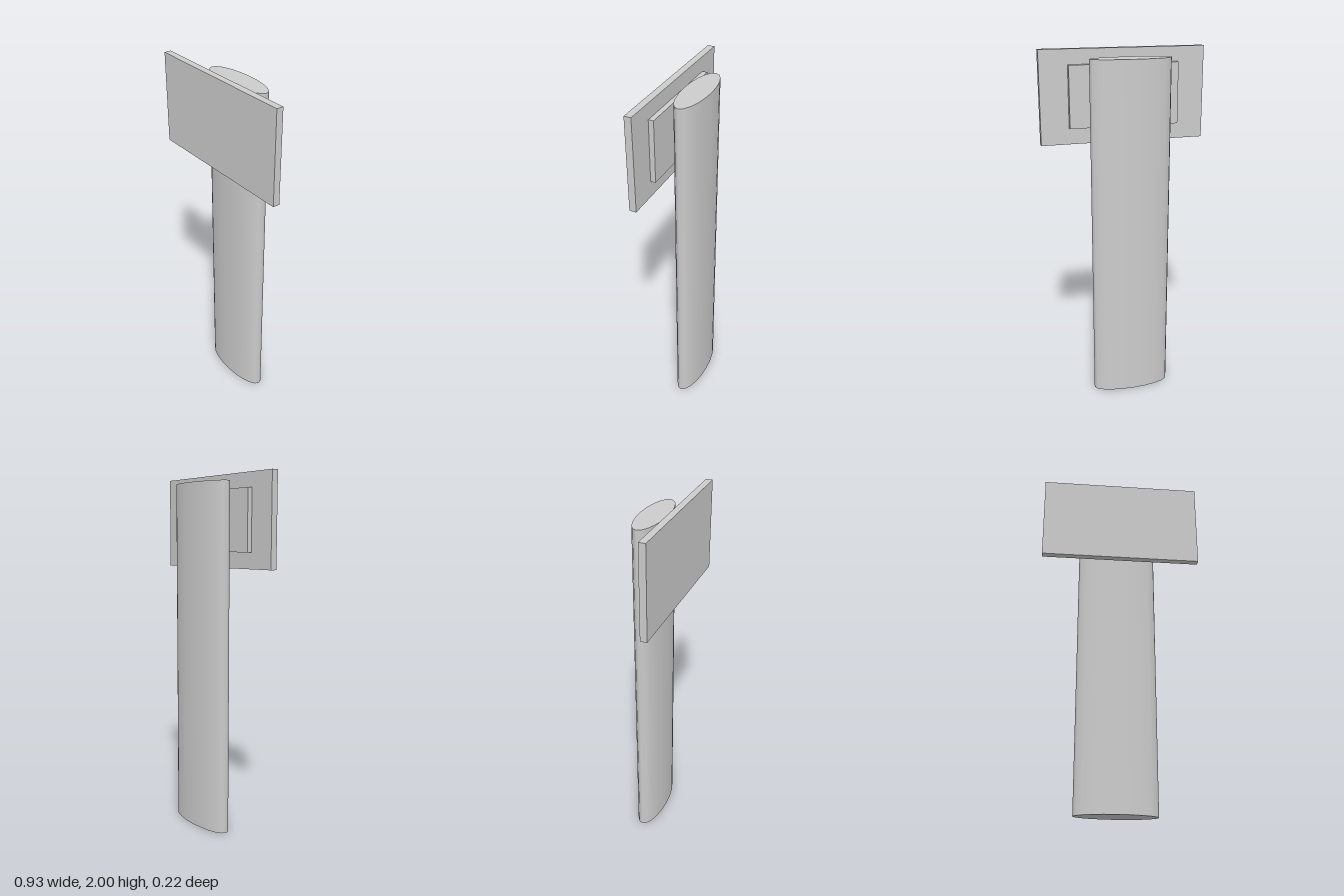
import * as THREE from 'three';

export function createModel() {
  const group = new THREE.Group();
  const material = new THREE.MeshStandardMaterial({ color: 0xcccccc });

  const add = (name, geometry, x, y, z) => {
    const mesh = new THREE.Mesh(geometry, material);
    mesh.name = name;
    mesh.position.set(x, y, z);
    group.add(mesh);
  };

  // Elliptical post, slightly off centre
  const postHeight = 1.955;
  const post = new THREE.CylinderGeometry(1, 1, postHeight, 20).scale(0.227, 1, 0.074);
  add('post', post, -0.012, postHeight / 2, -0.037);

  // Mounting plate between post and sign
  add('mountingPlate', new THREE.BoxGeometry(0.616, 0.34, 0.028), 0, 1.748, 0.057);

  // Sign panel at the front
  add('signPanel', new THREE.BoxGeometry(0.928, 0.512, 0.038), 0, 1.744, 0.091);

  return group;
}
